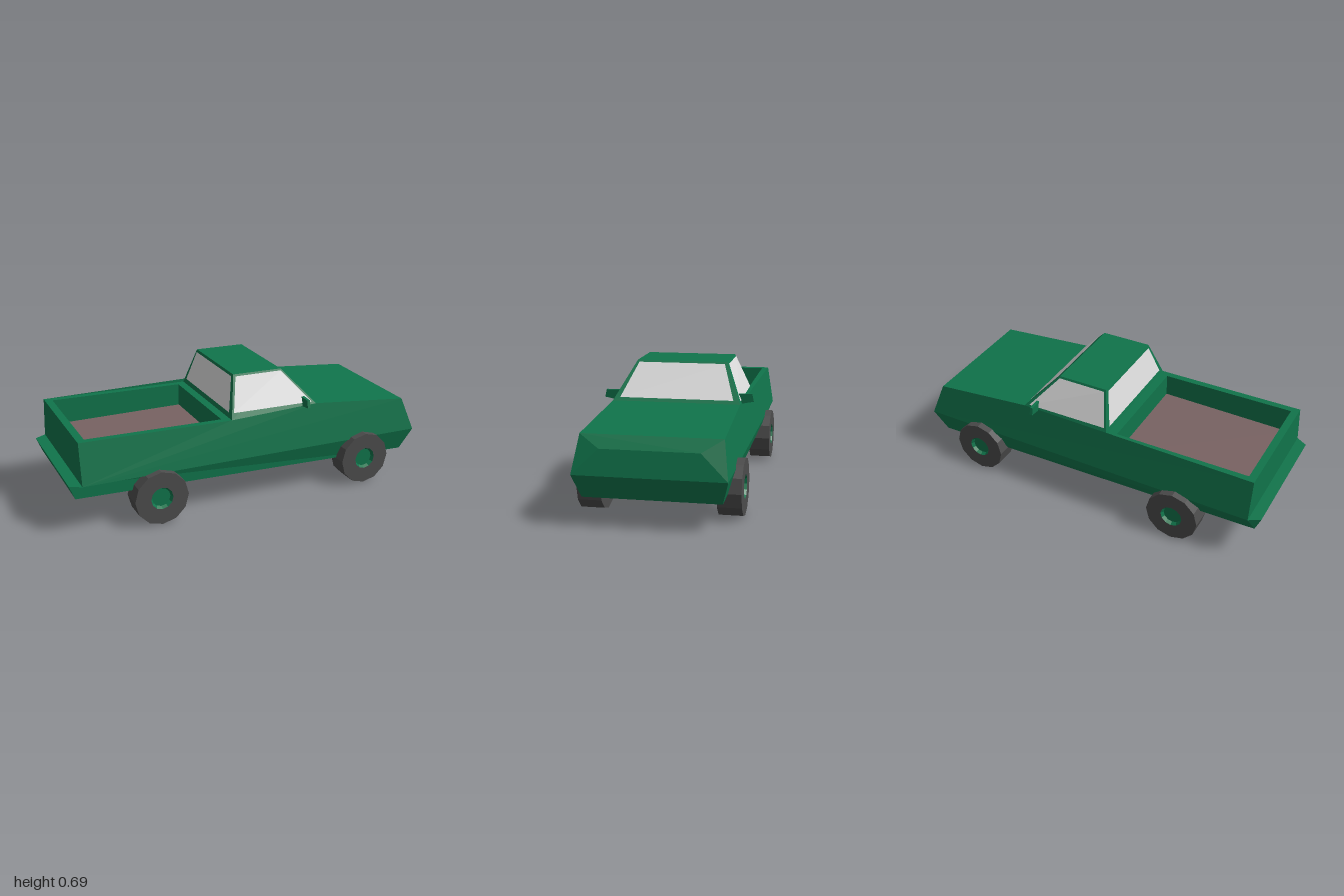
import * as THREE from 'three';

const paint = new THREE.MeshStandardMaterial({ color: 0x10744b, flatShading: true });
const glass = new THREE.MeshStandardMaterial({ color: 0xdcdcdc, flatShading: true });
const rubber = new THREE.MeshStandardMaterial({ color: 0x4c4c4c, flatShading: true });
const bedLiner = new THREE.MeshStandardMaterial({ color: 0x786262, flatShading: true });
paint.name = 'green paint';
glass.name = 'pale glass';
rubber.name = 'dark rubber';
bedLiner.name = 'brown bed liner';

const V = (x, y, z) => new THREE.Vector3(x, y, z);
const flip = (p) => V(p.x, p.y, -p.z);

// Face helpers: span joins a point pair to its mirror image, sides makes a face on both flanks
const span = (a, b) => [[a, b, flip(b), flip(a)]];
const sides = (...pts) => [pts, pts.map(flip).reverse()];

function panelMesh(name, faces, material) {
  const pos = [];
  for (const f of faces) {
    for (let i = 1; i < f.length - 1; i++) {
      for (const p of [f[0], f[i], f[i + 1]]) pos.push(p.x, p.y, p.z);
    }
  }
  const g = new THREE.BufferGeometry();
  g.setAttribute('position', new THREE.Float32BufferAttribute(pos, 3));
  g.computeVertexNormals();
  const mesh = new THREE.Mesh(g, material);
  mesh.name = name;
  return mesh;
}

// Pane lying just above a quad, with corners given as fractions across and up it
function pane([a, b, c, d], uvs) {
  const n = b.clone().sub(a).cross(d.clone().sub(a)).normalize().multiplyScalar(0.004);
  return uvs.map(([u, v]) => a.clone().lerp(b, u).lerp(d.clone().lerp(c, u), v).add(n));
}

function makeWheel() {
  const wheel = new THREE.Group();
  const lathe = (name, pts, material) => {
    const g = new THREE.LatheGeometry(pts.map(([r, y]) => new THREE.Vector2(r, y)), 12);
    g.rotateX(Math.PI / 2);
    const m = new THREE.Mesh(g, material);
    m.name = name;
    wheel.add(m);
  };
  lathe('tyre', [[0, -0.06], [0.145, -0.06], [0.145, 0.06], [0.06, 0.06]], rubber);
  lathe('hub', [[0.06, 0.06], [0.05, 0.042], [0, 0.042]], paint);
  return wheel;
}

export function createModel() {
  const truck = new THREE.Group();
  truck.name = 'pickupTruck';

  // Key points on the left flank
  const bumper = V(-1, 0.275, 0.335), sillRear = V(-0.97, 0.2, 0.335);
  const beltRear = V(-0.94, 0.275, 0.37), beltFront = V(1, 0.255, 0.37);
  const sillFront = V(0.94, 0.135, 0.337);
  const railRear = V(-0.94, 0.495, 0.335), railFront = V(-0.12, 0.478, 0.335);
  const cowl = V(0.38, 0.495, 0.335), nose = V(0.93, 0.44, 0.343), grille = V(0.975, 0.38, 0.24);
  const bedRear = V(-0.9, 0.494, 0.3), bedFront = V(-0.165, 0.479, 0.3);
  const floorRear = V(-0.9, 0.355, 0.3), floorFront = V(-0.165, 0.355, 0.3);
  const roofRear = V(-0.07, 0.693, 0.242), roofFront = V(0.207, 0.688, 0.242);

  // Lower body, flanks and tail
  truck.add(panelMesh('body', [
    ...sides(beltRear, beltFront, nose, cowl, railFront, railRear),
    ...sides(bumper, sillRear, sillFront, beltFront, beltRear),
    ...span(sillRear, bumper), ...span(bumper, beltRear), ...span(beltRear, railRear),
    ...span(sillFront, sillRear),
  ], paint));

  // Hood and faceted nose
  truck.add(panelMesh('hoodAndNose', [
    ...span(cowl, nose), ...span(nose, grille), ...span(grille, beltFront),
    ...span(beltFront, sillFront), ...sides(beltFront, grille, nose),
  ], paint));

  // Open cargo bed
  truck.add(panelMesh('bedWalls', [
    ...span(railRear, bedRear), ...span(bedFront, railFront),
    ...sides(railRear, railFront, bedFront, bedRear),
    ...sides(bedRear, bedFront, floorFront, floorRear),
    ...span(bedRear, floorRear), ...span(floorFront, bedFront),
  ], paint));
  truck.add(panelMesh('bedFloor', span(floorRear, floorFront), bedLiner));

  // Cab with its windows
  const sideWall = [railFront, cowl, roofFront, roofRear];
  const frontWall = [cowl, flip(cowl), flip(roofFront), roofFront];
  const rearWall = [flip(railFront), railFront, roofRear, flip(roofRear)];
  truck.add(panelMesh('cab', [
    ...sides(...sideWall), frontWall, rearWall, ...span(roofRear, roofFront),
  ], paint));
  truck.add(panelMesh('sideWindows',
    sides(...pane(sideWall, [[0.02, 0.15], [0.965, 0.06], [0.96, 0.95], [0.04, 0.95]])), glass));
  truck.add(panelMesh('windshield',
    [pane(frontWall, [[0.045, 0.075], [0.955, 0.075], [0.965, 0.94], [0.035, 0.94]])], glass));
  truck.add(panelMesh('rearWindow',
    [pane(rearWall, [[0.045, 0.13], [0.955, 0.13], [0.965, 0.94], [0.035, 0.94]])], glass));

  // Door mirrors, outlined in z and y
  const outline = [[0.305, 0.54], [0.388, 0.54], [0.397, 0.5], [0.335, 0.489]];
  const front = outline.map(([z, y]) => V(0.315 - (z - 0.3) * 0.05, y, z));
  const back = front.map((p) => V(p.x - 0.016, p.y, p.z));
  const mirrorFaces = [...sides(...front.slice().reverse()), ...sides(...back)];
  for (let i = 0; i < 4; i++) {
    const j = (i + 1) % 4;
    mirrorFaces.push(...sides(front[i], front[j], back[j], back[i]));
  }
  // Keep both windings visible on these thin plates
  const mirrorPaint = paint.clone();
  mirrorPaint.name = 'green mirror paint';
  mirrorPaint.side = THREE.DoubleSide;
  truck.add(panelMesh('doorMirrors', mirrorFaces, mirrorPaint));

  // Wheels
  for (const [axle, x] of [['rear', -0.54], ['front', 0.665]]) {
    for (const s of [1, -1]) {
      const wheel = makeWheel();
      wheel.name = axle + (s > 0 ? 'WheelLeft' : 'WheelRight');
      wheel.position.set(x, 0.147, s * 0.345);
      if (s < 0) wheel.rotation.y = Math.PI;
      truck.add(wheel);
    }
  }
  return truck;
}
